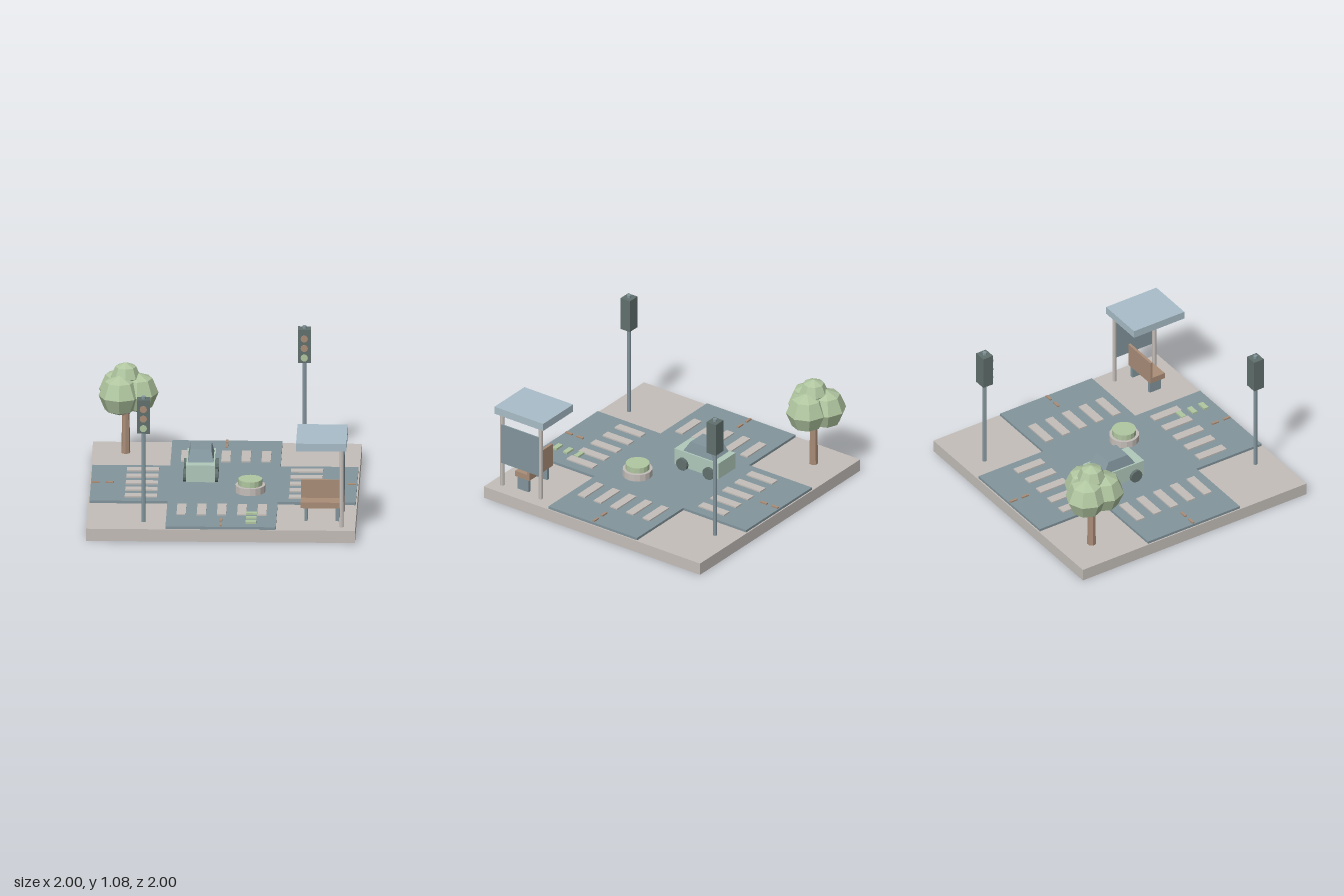
import * as THREE from 'three';

const mat = (name, color) => {
  const m = new THREE.MeshStandardMaterial({ color, flatShading: true });
  m.name = name;
  return m;
};

export function createModel() {
  const stone = mat('stone', 0xc4beb9);
  const asphalt = mat('asphalt', 0x82959c);
  const paleBlue = mat('paleBlue', 0xa9bdc8);
  const charcoal = mat('charcoal', 0x61706d);
  const brown = mat('brown', 0xaa8d78);
  const leaf = mat('leaf', 0xb0c6a0);
  const mint = mat('mint', 0xb0c9bb);

  const model = new THREE.Group();
  model.name = 'crossroads';

  const group = (name, x = 0, y = 0, z = 0) => {
    const g = new THREE.Group();
    g.name = name;
    g.position.set(x, y, z);
    model.add(g);
    return g;
  };
  const add = (parent, name, geometry, material, x, y, z) => {
    const m = new THREE.Mesh(geometry, material);
    m.name = name;
    m.position.set(x, y, z);
    parent.add(m);
    return m;
  };
  // Box given by its limits on each axis
  const box = (parent, name, material, [x0, x1], [y0, y1], [z0, z1]) =>
    add(parent, name, new THREE.BoxGeometry(x1 - x0, y1 - y0, z1 - z0), material,
      (x0 + x1) / 2, (y0 + y1) / 2, (z0 + z1) / 2);
  // Upright cylinder standing on y0
  const post = (parent, name, material, r, x, y0, y1, z, sides = 8, rTop = r) =>
    add(parent, name, new THREE.CylinderGeometry(rTop, r, y1 - y0, sides), material,
      x, (y0 + y1) / 2, z);

  const GROUND = 0.095, ROAD = 0.115;

  // Ground slab and cross-shaped road
  box(model, 'groundSlab', stone, [-1, 1], [0, GROUND], [-1, 1]);
  const a = 0.41, b = 0.99;
  const cross = new THREE.Shape([
    [a, a], [a, b], [-a, b], [-a, a], [-b, a], [-b, -a],
    [-a, -a], [-a, -b], [a, -b], [a, -a], [b, -a], [b, a],
  ].map(([x, y]) => new THREE.Vector2(x, y)));
  const roadGeo = new THREE.ExtrudeGeometry(cross, { depth: ROAD - GROUND, bevelEnabled: false });
  roadGeo.rotateX(-Math.PI / 2);
  add(model, 'road', roadGeo, asphalt, 0, GROUND, 0);

  // Crosswalk stripes and centre dashes on each of the four arms
  for (let arm = 0; arm < 4; arm++) {
    const g = group('roadMarkings');
    g.rotation.y = arm * Math.PI / 2;
    for (let i = -2; i <= 2; i++) {
      const x = i * 0.15;
      box(g, 'crosswalkStripe', stone, [x - 0.034, x + 0.034], [ROAD, 0.126], [0.49, 0.73]);
    }
    for (const z of [0.85, 0.952])
      box(g, 'centreDash', brown, [-0.009, 0.009], [ROAD, 0.126], [z - 0.03, z + 0.03]);
  }

  // Green lane marks
  for (const z of [0.695, 0.795, 0.895])
    box(model, 'laneMark', leaf, [0.183, 0.263], [ROAD, 0.13], [z - 0.02, z + 0.02]);

  // Round planter
  const planter = group('planter', 0.2, 0, 0.17);
  post(planter, 'planterRim', stone, 0.112, 0, ROAD, 0.17, 0, 16);
  post(planter, 'planterGrass', leaf, 0.09, 0, 0.17, 0.215, 0, 16);

  // Car: body, tapered cabin, four wheels
  const car = group('car', -0.175, 0, -0.175);
  box(car, 'carBody', mint, [-0.107, 0.107], [0.135, 0.265], [-0.203, 0.203]);
  const cabinGeo = new THREE.BoxGeometry(0.19, 0.085, 0.28);
  const p = cabinGeo.attributes.position;
  for (let i = 0; i < p.count; i++)
    if (p.getY(i) > 0) p.setXYZ(i, p.getX(i) * 0.82, p.getY(i), p.getZ(i) * 0.61);
  cabinGeo.computeVertexNormals();
  add(car, 'carCabin', cabinGeo, asphalt, 0, 0.3075, -0.01);
  const wheelGeo = new THREE.CylinderGeometry(0.05, 0.05, 0.04, 12).rotateZ(Math.PI / 2);
  for (const x of [-0.11, 0.11])
    for (const z of [-0.122, 0.122])
      add(car, 'wheel', wheelGeo, charcoal, x, 0.162, z);

  // Tree: trunk, branches and faceted crowns
  const tree = group('tree', -0.75, 0, -0.755);
  post(tree, 'trunk', brown, 0.034, 0, GROUND, 0.5, 0, 7, 0.026);
  for (let i = 0; i < 3; i++) {
    const t = i * Math.PI * 2 / 3;
    const dx = Math.cos(t), dz = Math.sin(t);
    const curve = new THREE.LineCurve3(
      new THREE.Vector3(0, 0.36, 0), new THREE.Vector3(dx * 0.06, 0.52, dz * 0.06));
    add(tree, 'branch', new THREE.TubeGeometry(curve, 1, 0.014, 5), brown, 0, 0, 0);
    add(tree, 'crown', new THREE.SphereGeometry(0.157, 8, 4), leaf, dx * 0.087, 0.57, dz * 0.087);
  }
  add(tree, 'crownTop', new THREE.SphereGeometry(0.11, 8, 4), leaf, 0, 0.695, 0);

  // Traffic lights, both facing +z
  const lensGeo = new THREE.CylinderGeometry(0.027, 0.027, 0.006, 12).rotateX(Math.PI / 2);
  for (const s of [-1, 1]) {
    const light = group('trafficLight', s * 0.577, 0, -s * 0.825);
    post(light, 'lightPole', asphalt, 0.016, 0, GROUND, 1.08, 0);
    box(light, 'lightHead', charcoal, [-0.048, 0.048], [0.8, 1.06], [-0.043, 0.043]);
    [0.995, 0.92, 0.845].forEach((y, i) =>
      add(light, 'lens', lensGeo, i < 2 ? brown : leaf, 0, y, 0.058));
  }

  // Bus shelter: roof, two posts, side panel
  const shelter = group('shelter');
  box(shelter, 'shelterRoof', paleBlue, [0.56, 0.935], [0.7, 0.76], [0.5, 0.95]);
  for (const z of [0.55, 0.905])
    post(shelter, 'shelterPost', stone, 0.016, 0.897, GROUND, 0.7, z);
  box(shelter, 'shelterPanel', asphalt, [0.904, 0.914], [0.29, 0.615], [0.553, 0.905]);

  // Bench under the shelter
  const bench = group('bench');
  box(bench, 'benchSeat', brown, [0.59, 0.885], [0.2, 0.245], [0.665, 0.795]);
  box(bench, 'benchBack', brown, [0.59, 0.885], [0.245, 0.385], [0.665, 0.685]);
  for (const x of [0.63, 0.863])
    box(bench, 'benchLeg', asphalt, [x - 0.012, x + 0.012], [GROUND, 0.2], [0.68, 0.78]);

  return model;
}
